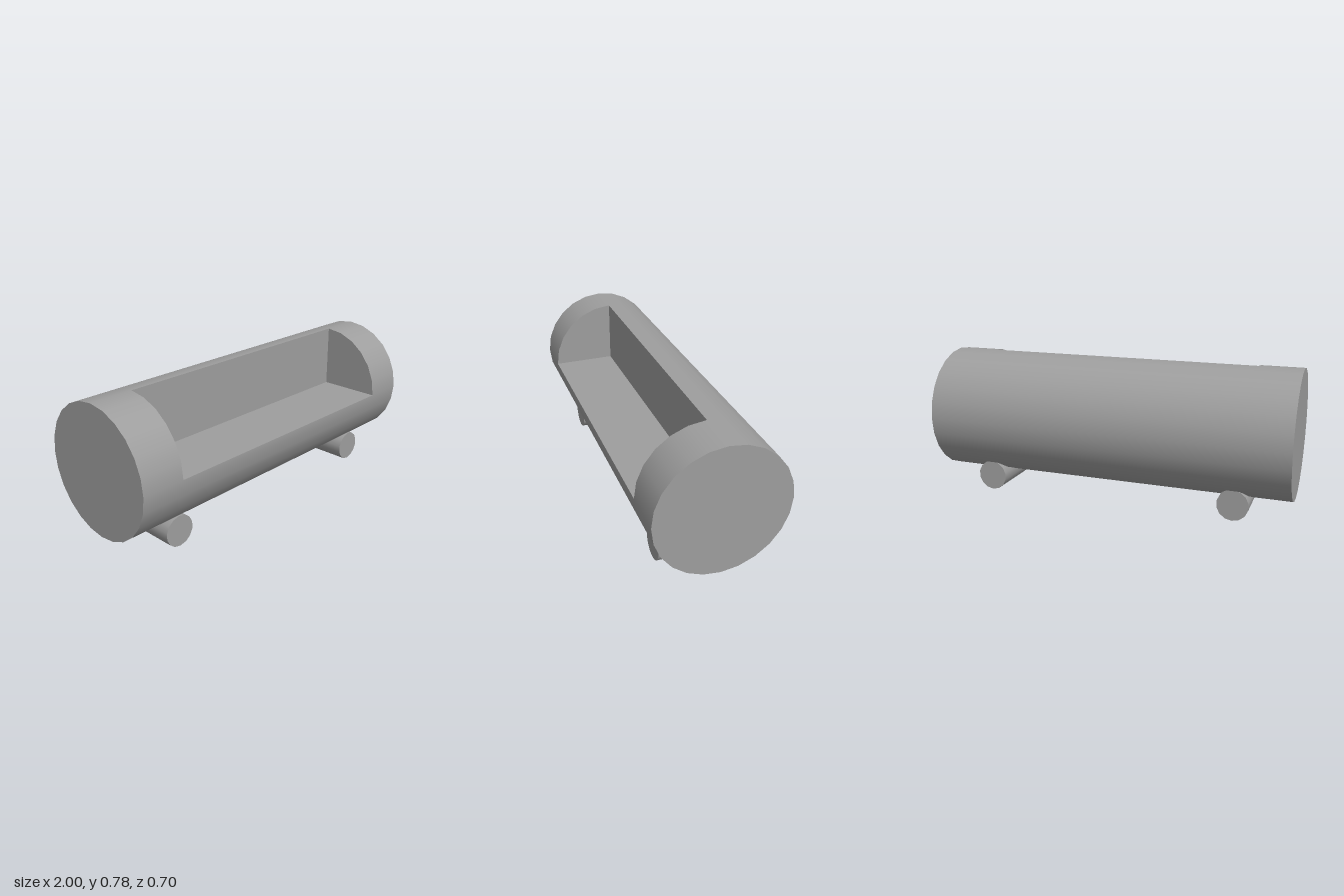
import * as THREE from 'three';

const R = 0.35, AXIS_Y = 0.433;       // log radius and axis height
const HALF = 1, CUT = 0.766;          // half length of log and of seat recess
const LEG_R = 0.085, LEG_X = 0.702, LEG_BACK = -0.22, LEG_FRONT = 0.235;

export function createModel() {
  const group = new THREE.Group();
  const material = new THREE.MeshStandardMaterial({ color: 0x9e9e9e });

  const add = (name, geometry, x, y, z) => {
    const mesh = new THREE.Mesh(geometry, material);
    mesh.name = name;
    mesh.position.set(x, y, z);
    group.add(mesh);
  };

  // Bark of the middle: three quarters of a cylinder, open at the upper front
  const bark = new THREE.CylinderGeometry(R, R, CUT * 2, 18, 1, true, 0, Math.PI * 1.5);
  add('middleBark', bark.rotateZ(-Math.PI / 2), 0, AXIS_Y, 0);

  // Flat seat and backrest of the recess
  add('seat', new THREE.PlaneGeometry(CUT * 2, R).rotateX(-Math.PI / 2), 0, AXIS_Y, R / 2);
  add('backrest', new THREE.PlaneGeometry(CUT * 2, R), 0, AXIS_Y + R / 2, 0);

  for (const side of [-1, 1]) {
    const label = side > 0 ? 'left' : 'right';

    // Full round log end with its outer face
    const end = new THREE.CylinderGeometry(R, R, HALF - CUT, 24, 1, true);
    add(label + 'EndBark', end.rotateZ(-Math.PI / 2), side * (HALF + CUT) / 2, AXIS_Y, 0);
    const face = new THREE.CircleGeometry(R, 24);
    add(label + 'EndFace', face.rotateY(side * Math.PI / 2), side * HALF, AXIS_Y, 0);

    // Quarter-round armrest face, looking into the recess
    const arm = new THREE.CircleGeometry(R, 6, side > 0 ? 0 : Math.PI / 2, Math.PI / 2);
    add(label + 'ArmrestFace', arm.rotateY(-side * Math.PI / 2), side * CUT, AXIS_Y, 0);

    // Small log lying crosswise as a foot
    const foot = new THREE.CylinderGeometry(LEG_R, LEG_R, LEG_FRONT - LEG_BACK, 14);
    add(label + 'Foot', foot.rotateX(Math.PI / 2), side * LEG_X, LEG_R, (LEG_FRONT + LEG_BACK) / 2);
  }
  return group;
}
